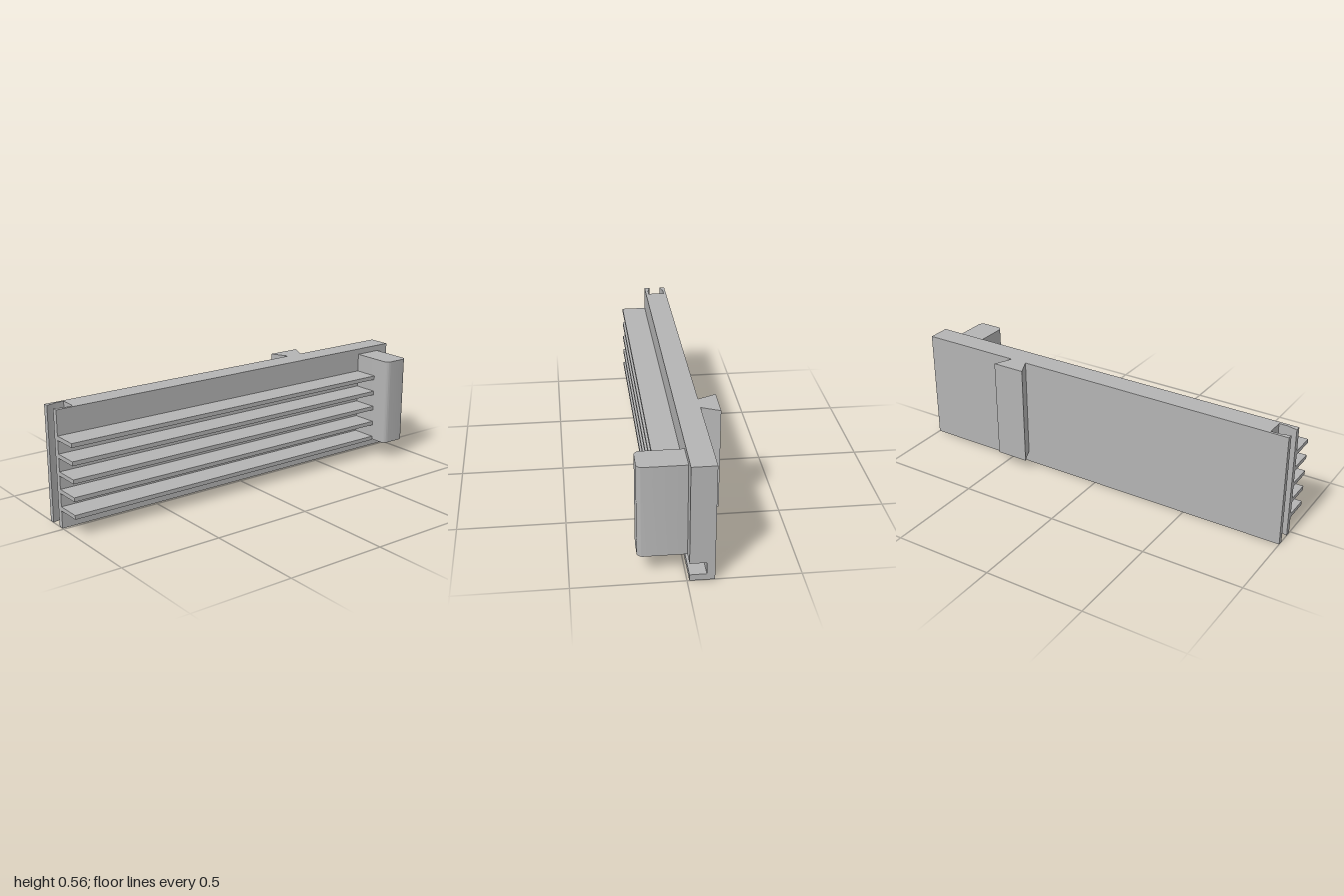
import * as THREE from 'three';
import { toCreasedNormals } from 'three/addons/utils/BufferGeometryUtils.js';

const gray = new THREE.MeshStandardMaterial({ color: 0xb4b4b4 });
gray.name = 'plain gray';

// Shape from [x, z] plan points, stored as (x, -z) for upright extrusion
function plan(points) {
  return new THREE.Shape(points.map(([x, z]) => new THREE.Vector2(x, -z)));
}

// Extrude a plan outline upward from y0 to y1
function upright(name, shape, y0, y1) {
  const geo = new THREE.ExtrudeGeometry(shape, { depth: y1 - y0, bevelEnabled: false, curveSegments: 10 });
  geo.rotateX(-Math.PI / 2).translate(0, y0, 0);
  const mesh = new THREE.Mesh(toCreasedNormals(geo, 0.5), gray);
  mesh.name = name;
  return mesh;
}

export function createModel() {
  const group = new THREE.Group();
  group.name = 'finnedRail';
  const back = -0.121, face = -0.01, top = 0.56, notchZ = -0.715;

  // Main plate with a tapered slot cut in its front end
  group.add(upright('mainPlate', plan([
    [back, notchZ], [back, 1], [-0.095, 1], [-0.108, 0.95], [-0.108, 0.91],
    [-0.025, 0.91], [-0.025, 0.95], [-0.037, 1], [face, 1], [face, notchZ],
  ]), 0, top));

  // Rear length of the plate, with a hook-shaped notch near the bottom
  const profile = new THREE.Shape([
    [back, 0], [face, 0], [face, 0.03], [-0.085, 0.03],
    [-0.085, 0.087], [face, 0.087], [face, top], [back, top],
  ].map(([x, y]) => new THREE.Vector2(x, y)));
  const rearGeo = new THREE.ExtrudeGeometry(profile, { depth: notchZ + 1, bevelEnabled: false });
  const rear = new THREE.Mesh(rearGeo.translate(0, 0, -1), gray);
  rear.name = 'notchedRear';
  group.add(rear);

  // Dovetail key on the outer side
  group.add(upright('dovetailKey', plan([
    [-0.208, -0.527], [-0.208, -0.361], [back, -0.402], [back, -0.486],
  ]), 0.057, top));

  // End block with rounded outer corners
  const block = new THREE.Shape();
  const x1 = 0.207, lo = 0.795, hi = 0.932, r = 0.027;
  block.moveTo(face, lo);
  block.lineTo(x1 - r, lo);
  block.absarc(x1 - r, lo + r, r, -Math.PI / 2, 0, false);
  block.lineTo(x1, hi - r);
  block.absarc(x1 - r, hi - r, r, 0, Math.PI / 2, false);
  block.lineTo(face, hi);
  group.add(upright('endBlock', block, 0.09, 0.531));

  // Five thin fins running from the end block to the front
  for (let i = 0; i < 5; i++) {
    const fin = new THREE.Mesh(new THREE.BoxGeometry(0.126, 0.02, 1.795), gray);
    fin.name = 'fin' + (i + 1);
    fin.position.set(face + 0.063, 0.0955 + i * 0.0836, 0.1025);
    group.add(fin);
  }
  return group;
}
